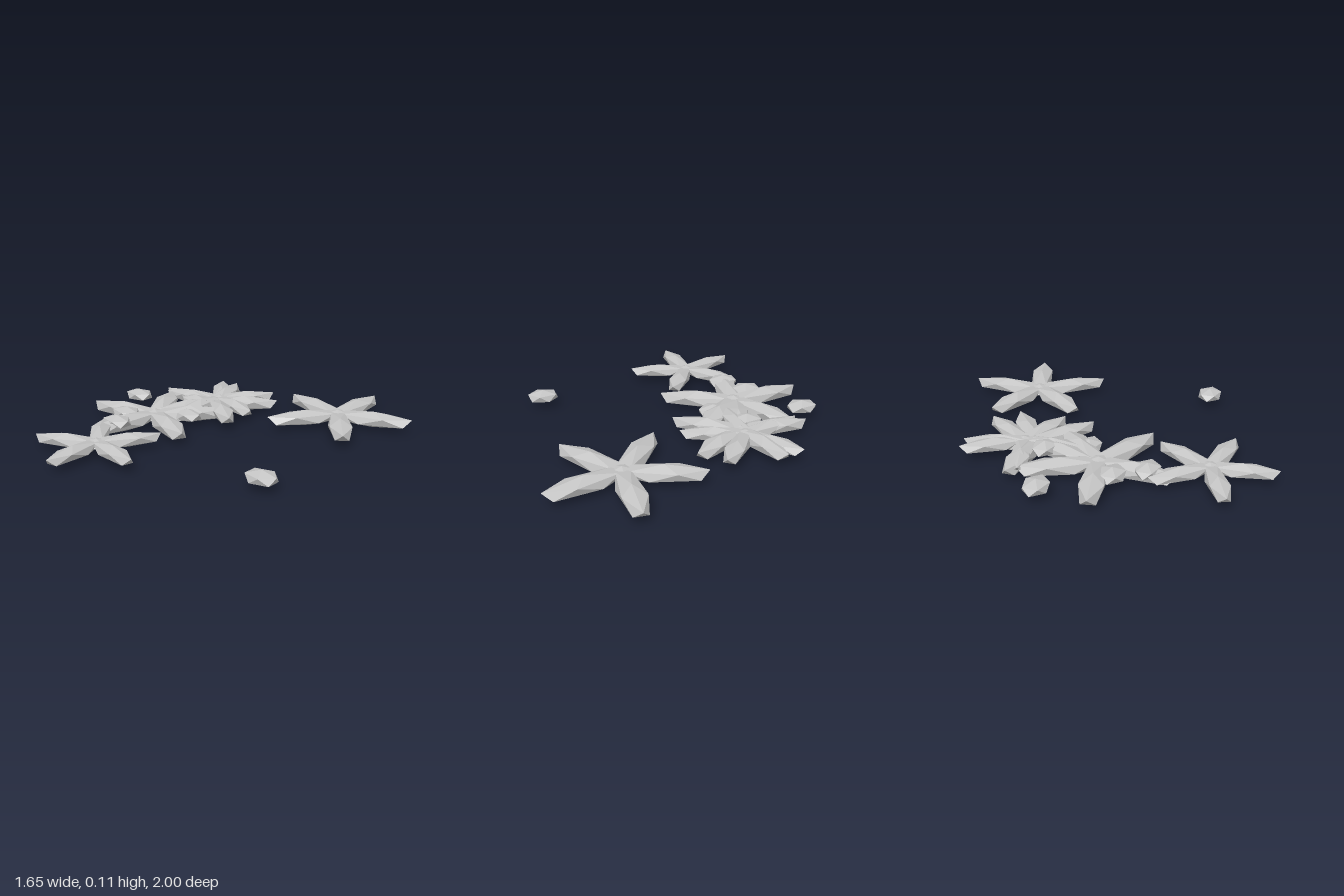
import * as THREE from 'three';

const shell = new THREE.MeshStandardMaterial({ color: 0xc4c4c4 });
shell.name = 'paleGrey';

// Twenty-sided lump standing on a corner, one upper ring corner pointing along +x
const lump = new THREE.IcosahedronGeometry(1, 0);
lump.rotateZ(Math.atan2(2, 1 + Math.sqrt(5)));
lump.rotateY(Math.PI);

const RING = 0.894; // radius of the corner rings of the unit lump

function addLump(parent, name, x, y, z, length, height, width, turn) {
  const mesh = new THREE.Mesh(lump, shell);
  mesh.name = name;
  mesh.position.set(x, y, z);
  mesh.scale.set(length / RING, height, width / RING);
  mesh.rotation.y = -turn;
  parent.add(mesh);
}

// Five stretched lumps around a small flat middle
function starfish(x, y, z, radius, degrees, height) {
  const star = new THREE.Group();
  star.name = 'starfish';
  star.position.set(x, y, z);
  const half = radius * 0.52;
  const reach = radius - half;
  for (let i = 0; i < 5; i++) {
    const a = THREE.MathUtils.degToRad(degrees + i * 72);
    addLump(star, 'arm', Math.cos(a) * reach, 0, Math.sin(a) * reach,
      half, height, radius * 0.155, a);
  }
  const a = THREE.MathUtils.degToRad(degrees);
  addLump(star, 'middle', 0, 0, 0, radius * 0.17, height * 0.7, radius * 0.17, a);
  return star;
}

export function createModel() {
  const model = new THREE.Group();
  model.name = 'starfishAndPebbles';

  // x, y, z, radius, angle of the first arm, half height
  const stars = [
    [0.42, 0.055, -0.575, 0.425, -90, 0.046],
    [-0.40, 0.05, 0.10, 0.43, 25, 0.05],
    [-0.28, 0.055, 0.65, 0.35, 12, 0.04],
    [-0.29, 0.055, -0.30, 0.385, 36, 0.045],
    [-0.30, 0.06, -0.36, 0.35, 18, 0.04],
  ];
  for (const s of stars) model.add(starfish(...s));

  // Pebbles: x, y, z
  const pebbles = [
    [-0.74, 0.06, -0.105], [0.66, 0.06, 0.46], [-0.52, 0.065, 0.21],
    [-0.43, 0.07, 0.365], [-0.36, 0.07, -0.215], [-0.24, 0.055, -0.01],
  ];
  for (const [x, y, z] of pebbles) addLump(model, 'pebble', x, y, z, 0.087, 0.038, 0.068, 0);

  return model;
}
